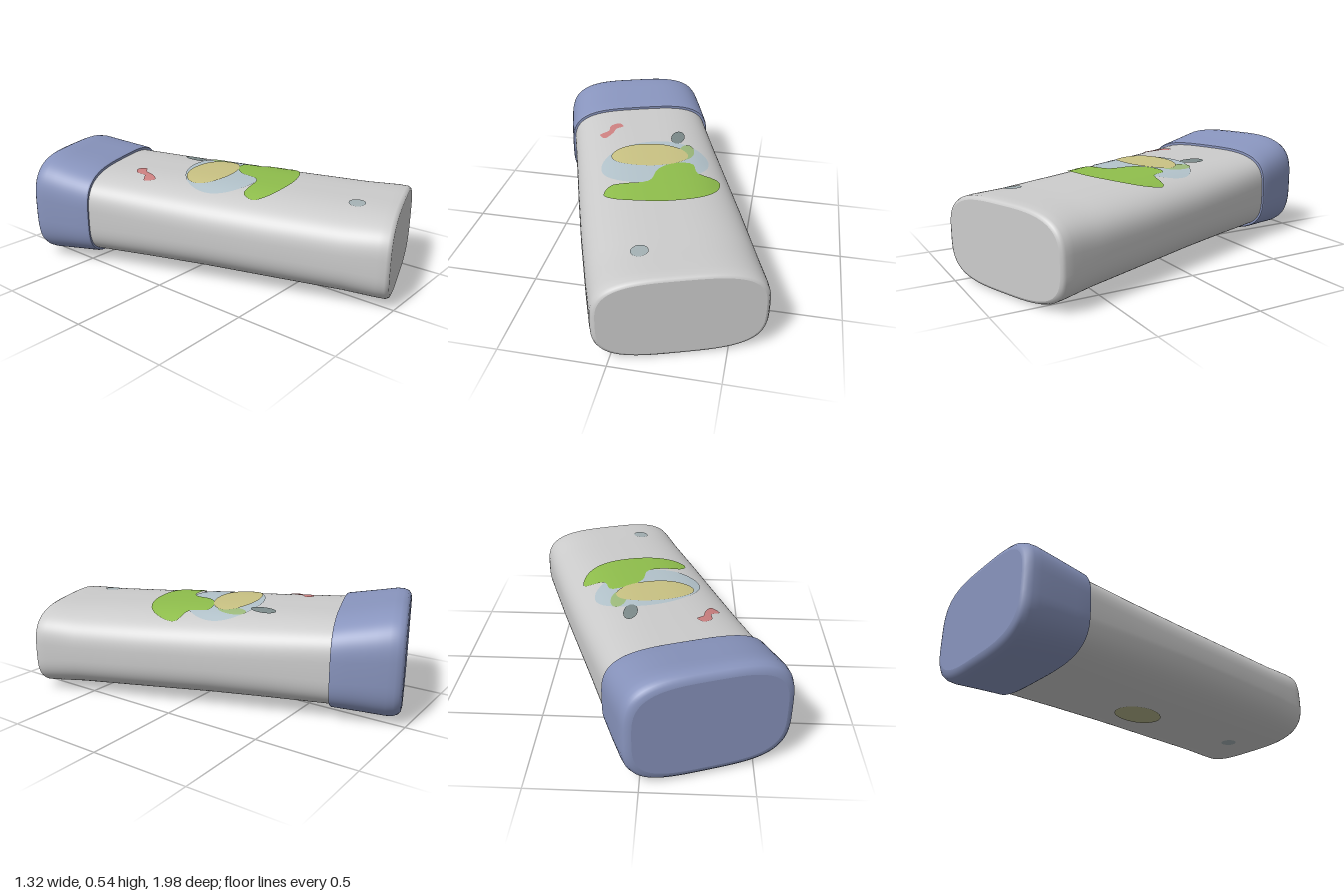
import * as THREE from 'three';

const TILT = 0.335; // the bar lies turned about the vertical axis
const SEG = 96;

// Sections along the bar: [position, half width, bottom, top, squareness]
const BODY = [
  [-0.64, 0.386, 0.036, 0.478, 3.5],
  [-0.3, 0.39, 0.03, 0.468, 3.1],
  [0.0, 0.395, 0.025, 0.46, 2.9],
  [0.35, 0.398, 0.018, 0.448, 2.9],
  [0.7, 0.395, 0.012, 0.436, 3.0],
  [0.86, 0.391, 0.007, 0.434, 3.3],
  [0.9, 0.388, 0.005, 0.432, 3.3],
  [0.914, 0.38, 0.011, 0.426, 3.3],
  [0.919, 0.368, 0.022, 0.415, 3.3],
];
const CAP = [
  [-0.923, 0.35, 0.045, 0.5, 3.4],
  [-0.919, 0.366, 0.027, 0.517, 3.5],
  [-0.907, 0.38, 0.012, 0.531, 3.5],
  [-0.885, 0.388, 0.003, 0.539, 3.5],
  [-0.85, 0.392, 0.001, 0.54, 3.5],
  [-0.74, 0.397, 0.012, 0.519, 3.5],
  [-0.6, 0.4, 0.023, 0.494, 3.5],
  [-0.592, 0.396, 0.027, 0.489, 3.5],
];

// Section of a list at position s
function sectionAt(list, s) {
  let i = 0;
  while (i < list.length - 2 && s > list[i + 1][0]) i++;
  const t = (s - list[i][0]) / (list[i + 1][0] - list[i][0]);
  return list[i].map((v, k) => v + (list[i + 1][k] - v) * t);
}

// Superellipse ring of one section
function ring([s, w, y0, y1, n]) {
  const pow = (v) => Math.sign(v) * Math.abs(v) ** (2 / n);
  return Array.from({ length: SEG }, (_, j) => {
    const a = (j / SEG) * Math.PI * 2;
    return [w * pow(Math.cos(a)), (y0 + y1) / 2 + ((y1 - y0) / 2) * pow(Math.sin(a)), s];
  });
}

// Skin through the sections, closed by flat end faces
function loft(list) {
  const sections = [];
  for (let i = 0; i < list.length - 1; i++) {
    const steps = Math.max(1, Math.round((list[i + 1][0] - list[i][0]) / 0.06));
    for (let k = 0; k < steps; k++) {
      sections.push(sectionAt(list, list[i][0] + ((list[i + 1][0] - list[i][0]) * k) / steps));
    }
  }
  sections.push(list[list.length - 1]);
  const pos = [], index = [];
  sections.forEach((sec, i) => {
    pos.push(...ring(sec).flat());
    if (i === sections.length - 1) return;
    for (let j = 0; j < SEG; j++) {
      const a = i * SEG + j, b = i * SEG + ((j + 1) % SEG);
      index.push(a, b, a + SEG, b, b + SEG, a + SEG);
    }
  });
  for (const [sec, front] of [[sections[0], false], [sections[sections.length - 1], true]]) {
    const start = pos.length / 3;
    pos.push(...ring(sec).flat(), 0, (sec[2] + sec[3]) / 2, sec[0]);
    for (let j = 0; j < SEG; j++) {
      const a = start + j, b = start + ((j + 1) % SEG);
      index.push(start + SEG, front ? a : b, front ? b : a);
    }
  }
  return toGeometry(pos, index);
}

function toGeometry(pos, index) {
  const geo = new THREE.BufferGeometry();
  geo.setAttribute('position', new THREE.Float32BufferAttribute(pos, 3));
  geo.setIndex(index);
  geo.computeVertexNormals();
  return geo;
}

// Printed patch that hugs the body; outline given as [x, z] seen from above
function patch(outline, lift, side = 1) {
  const curve = new THREE.CatmullRomCurve3(outline.map(([x, z]) => new THREE.Vector3(x, 0, z)), true);
  const N = 48, R = 8;
  const pts = curve.getPoints(N).slice(0, N);
  const mid = pts.reduce((m, p) => m.add(p), new THREE.Vector3()).divideScalar(N);
  const pos = [], index = [];
  for (let r = 0; r <= R; r++) {
    for (const p of pts) {
      const q = mid.clone().lerp(p, r / R);
      const u = q.x * Math.cos(TILT) - q.z * Math.sin(TILT);
      const s = q.x * Math.sin(TILT) + q.z * Math.cos(TILT);
      const [, w, y0, y1, n] = sectionAt(BODY, s);
      const h = ((y1 - y0) / 2) * (1 - Math.abs(u / w) ** n) ** (1 / n) + lift;
      pos.push(u, (y0 + y1) / 2 + side * h, s);
    }
  }
  for (let r = 0; r < R; r++) {
    for (let j = 0; j < N; j++) {
      const a = r * N + j, b = r * N + ((j + 1) % N);
      if (side > 0) index.push(a, b + N, a + N, a, b, b + N);
      else index.push(a, a + N, b + N, a, b + N, b);
    }
  }
  return toGeometry(pos, index);
}

// Tilted ellipse outline
function oval(x, z, rx, rz, turn = 0) {
  return Array.from({ length: 16 }, (_, i) => {
    const a = (-i / 16) * Math.PI * 2;
    const p = rx * Math.cos(a), q = rz * Math.sin(a);
    return [x + p * Math.cos(turn) - q * Math.sin(turn), z + p * Math.sin(turn) + q * Math.cos(turn)];
  });
}

export function createModel() {
  const model = new THREE.Group();
  model.rotation.y = TILT;
  const add = (name, geometry, color) => {
    const material = new THREE.MeshStandardMaterial({ color, side: THREE.DoubleSide });
    const mesh = new THREE.Mesh(geometry, material);
    mesh.name = name;
    model.add(mesh);
  };

  add('body', loft(BODY), 0xcccccc);
  add('cap', loft(CAP), 0x8894bd);

  // Printed decoration on the top
  const green = [
    [-0.18, 0.32], [-0.12, 0.36], [0.0, 0.37], [0.16, 0.34], [0.29, 0.27], [0.35, 0.18], [0.35, 0.07],
    [0.24, 0.06], [0.2, -0.02], [0.1, 0.01], [0.04, 0.08], [0.02, 0.19], [-0.07, 0.23], [-0.16, 0.25],
  ];
  const red = [
    [-0.27, -0.36], [-0.31, -0.33], [-0.31, -0.27], [-0.35, -0.24],
    [-0.31, -0.2], [-0.28, -0.25], [-0.27, -0.3], [-0.24, -0.33],
  ];
  add('blueBackdrop', patch(oval(0.01, 0.0, 0.28, 0.2, -0.4), 0.003), 0xb3c3cb);
  add('greenShape', patch(green, 0.006), 0x8fbe4c);
  add('greenAccent', patch(oval(0.15, -0.13, 0.04, 0.08), 0.005), 0x9dba7c);
  add('yellowOval', patch(oval(-0.03, -0.05, 0.2, 0.11, -0.2), 0.008), 0xc9c283);
  add('darkSpot', patch(oval(0.08, -0.27, 0.035, 0.07), 0.006), 0x7c8a8a);
  add('redMark', patch(red, 0.004), 0xcc8080);
  add('topDot', patch(oval(0.09, 0.73, 0.04, 0.04), 0.004), 0xa3b0b3);

  // Fainter print on the underside
  add('undersidePatch', patch(oval(0.02, 0.03, 0.1, 0.13, -0.3), 0.003, -1), 0xb4b48a);
  add('undersideDot', patch(oval(0.2, 0.66, 0.04, 0.04), 0.003, -1), 0xa3b0b3);

  const group = new THREE.Group();
  group.name = 'cappedBar';
  group.add(model);
  return group;
}
